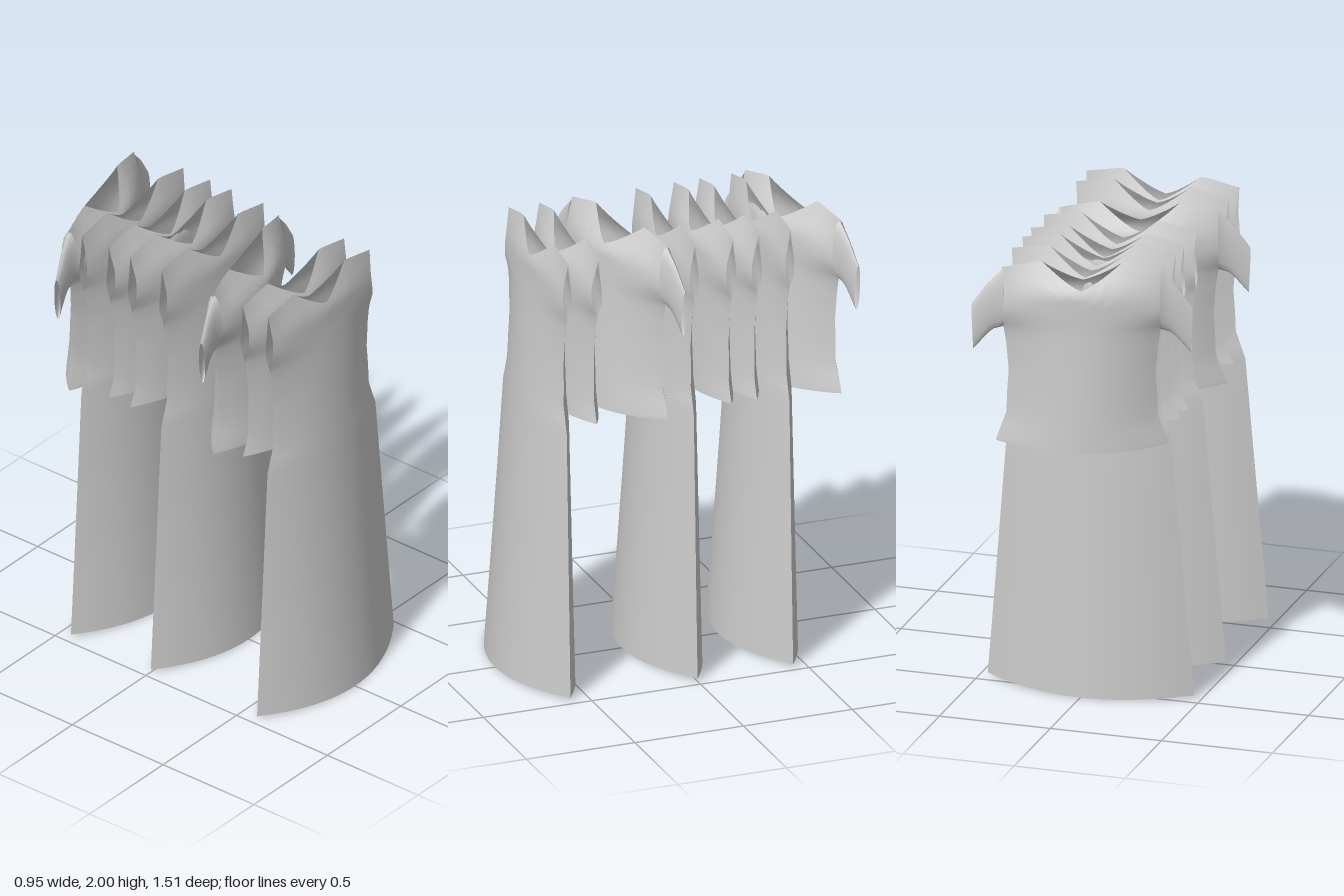
import * as THREE from 'three';

const material = new THREE.MeshStandardMaterial({ color: 0xcccccc, side: THREE.DoubleSide });
const { lerp, clamp, smoothstep } = THREE.MathUtils;

// Piecewise-linear lookup through [key, value] pairs
function sample(table, y) {
  for (let i = 1; i < table.length; i++) {
    const [a, va] = table[i - 1], [b, vb] = table[i];
    if (y <= b) return lerp(va, vb, clamp((y - a) / (b - a), 0, 1));
  }
  return table[table.length - 1][1];
}

// Half-width of the body by height: flared skirt, waist, chest, shoulders
const WIDTH = [[0, 0.465], [1.19, 0.367], [1.31, 0.325], [1.4, 0.322], [1.5, 0.315],
  [1.62, 0.325], [1.74, 0.343], [1.85, 0.333], [1.97, 0.345], [2, 0.345]];
const LEVELS = [0, 0.4, 0.8, 1.19, 1.25, 1.31, 1.4, 1.5, 1.56, 1.62, 1.68];
const TOP_ROWS = 8, COLUMNS = 24;

const seamZ = y => -0.0185 * y;
const shoulderY = u => 2 - 0.03 * clamp((Math.abs(u) - 0.55) / 0.45, 0, 1);
const topY = u => Math.abs(u) < 0.5 ? 1.89 + 0.11 * Math.pow(Math.abs(u) / 0.5, 1.3) : shoulderY(u);

// Surface from a rule giving a point for each column and row
function gridGeometry(columns, rows, point, flip = false) {
  const positions = [], index = [];
  for (let r = 0; r <= rows; r++)
    for (let c = 0; c <= columns; c++) positions.push(...point(c, r));
  for (let r = 0; r < rows; r++)
    for (let c = 0; c < columns; c++) {
      const a = r * (columns + 1) + c, b = a + 1, d = a + columns + 1, e = d + 1;
      if (flip) index.push(a, d, b, b, d, e);
      else index.push(a, b, d, b, e, d);
    }
  const geometry = new THREE.BufferGeometry();
  geometry.setAttribute('position', new THREE.Float32BufferAttribute(positions, 3));
  geometry.setIndex(index);
  geometry.computeVertexNormals();
  return geometry;
}

function addMesh(parent, name, geometry) {
  const mesh = new THREE.Mesh(geometry, material);
  mesh.name = name;
  parent.add(mesh);
}

// One cloth panel, bulging by the given depth and closing at seams and shoulders
function panel(hem, depth, side) {
  const levels = [hem, ...LEVELS.filter(y => y > hem + 0.02)];
  const low = levels.length - 1;
  return gridGeometry(COLUMNS, low + TOP_ROWS, (c, r) => {
    const u = -1 + 2 * c / COLUMNS;
    let y = r <= low ? levels[r] : lerp(1.68, topY(u), (r - low) / TOP_ROWS);
    const close = clamp((shoulderY(u) - y) / 0.13, 0, 1);
    const armhole = 0.35 * smoothstep(y, 1.68, 1.78);
    const bulge = lerp(1 - u * u, 1, armhole) * close * sample(depth, y);
    const x = u * sample(WIDTH, y);
    if (r === 0) y += 0.012 * u * u;
    return [x, y, seamZ(y) + side * bulge];
  }, side < 0);
}

// Short flattened sleeve hanging from the armhole, open at the cuff
function sleeve(side) {
  const around = 16, along = 6;
  const upper = [[0, 1.965], [0.5, 1.895], [1, 1.8]];
  const lower = [[0, 1.7], [0.4, 1.685], [1, 1.595]];
  return gridGeometry(around, along, (c, r) => {
    const s = r / along, a = c / around * Math.PI * 2;
    const k = (1 + Math.cos(a)) / 2;
    const y = lerp(sample(lower, s), sample(upper, s), k);
    const x = lerp(0.337, lerp(0.467, 0.475, k), s);
    return [side * x, y, seamZ(y) + Math.sin(a) * lerp(0.036, 0.014, Math.sqrt(s))];
  }, side < 0);
}

function garment(name, hem, front, back) {
  const group = new THREE.Group();
  group.name = name;
  addMesh(group, 'frontPanel', panel(hem, front, 1));
  addMesh(group, 'backPanel', panel(hem, back, -1));
  return group;
}

const makeDress = () => garment('longDress', 0,
  [[0, 0.163], [1.2, 0.09], [1.78, 0.05], [2, 0.045]],
  [[0, 0.15], [1.2, 0.105], [1.78, 0.065], [2, 0.055]]);

const makeTop = () => garment('sleevelessTop', 1.205,
  [[1.2, 0.09], [1.78, 0.075], [2, 0.065]],
  [[1.2, 0.1], [1.78, 0.06], [2, 0.05]]);

function makeShirt() {
  const shirt = garment('shortSleeveShirt', 1.165,
    [[1.16, 0.145], [1.7, 0.105], [2, 0.09]],
    [[1.16, 0.125], [1.7, 0.09], [2, 0.08]]);
  addMesh(shirt, 'leftSleeve', sleeve(1));
  addMesh(shirt, 'rightSleeve', sleeve(-1));
  shirt.position.x = -0.013;
  shirt.rotation.y = 0.26;
  return shirt;
}

export function createModel() {
  const model = new THREE.Group();
  model.name = 'rowOfClothes';
  // Garments in a row from front to back
  const row = [[makeDress, 0.585], [makeTop, 0.445], [makeShirt, 0.2], [makeDress, 0],
    [makeTop, -0.175], [makeTop, -0.293], [makeDress, -0.44], [makeShirt, -0.597]];
  for (const [make, z] of row) {
    const item = make();
    item.position.z = z;
    model.add(item);
  }
  return model;
}
